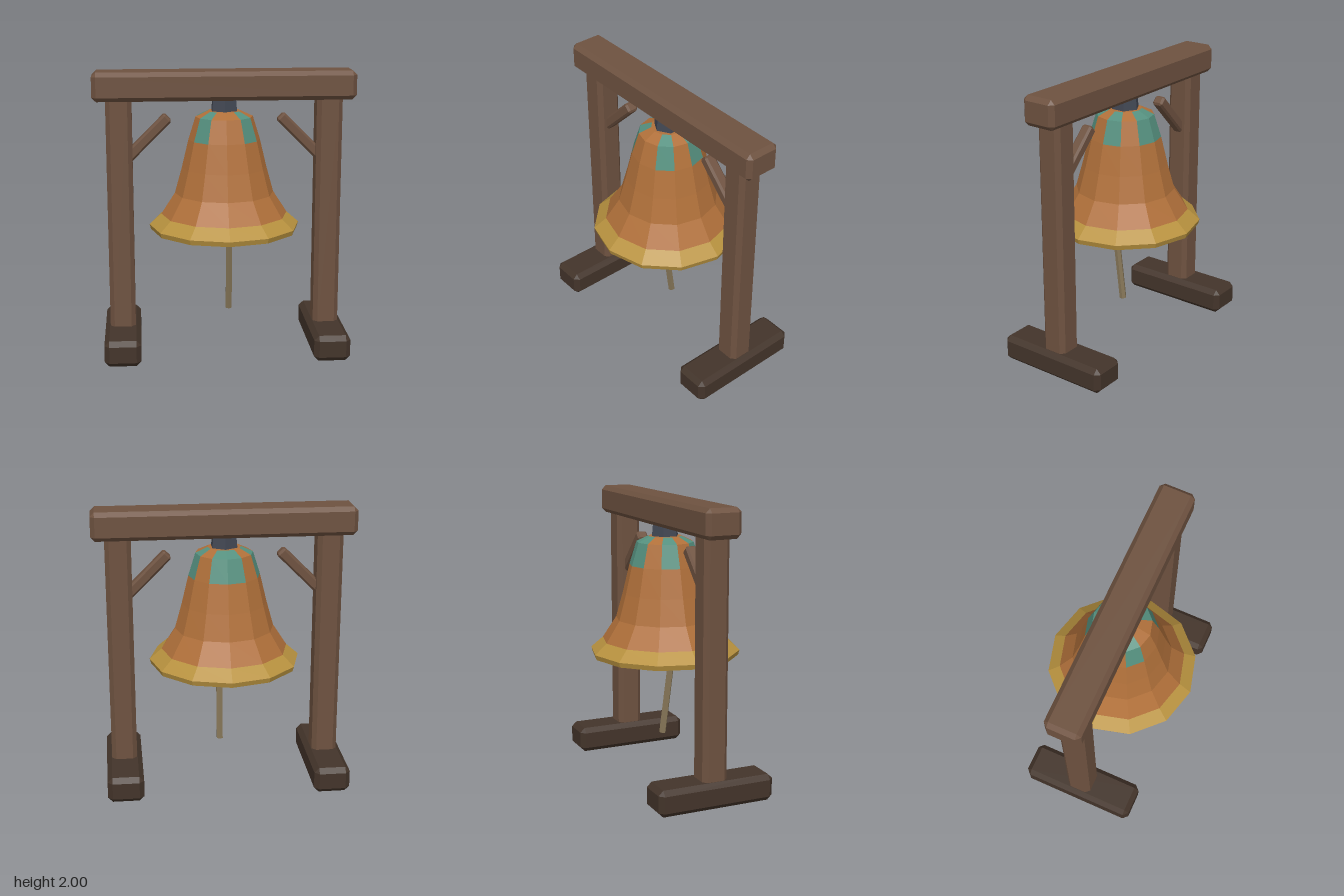
import * as THREE from 'three';
import { ConvexGeometry } from 'three/addons/geometries/ConvexGeometry.js';

const paint = (color, side = THREE.FrontSide) =>
  new THREE.MeshStandardMaterial({ color, flatShading: true, side });

const wood = paint(0x6e5240);
const darkWood = paint(0x43342a);
const copper = paint(0xb0703a);
const patina = paint(0x55907f);
const brass = paint(0xb8923f);
const innerBronze = paint(0x4d4335);
const iron = paint(0x424753);
const ropeFibre = paint(0x857557);

const SIDES = 12;

function add(parent, name, geometry, material, x = 0, y = 0, z = 0) {
  const mesh = new THREE.Mesh(geometry, material);
  mesh.name = name;
  mesh.position.set(x, y, z);
  parent.add(mesh);
  return mesh;
}

// Timber with every edge cut off at 45 degrees
function timber(w, h, d, c) {
  const half = [w / 2, h / 2, d / 2];
  const points = [];
  for (let axis = 0; axis < 3; axis++)
    for (const sx of [-1, 1]) for (const sy of [-1, 1]) for (const sz of [-1, 1]) {
      const p = half.map((v, i) => (i === axis ? v : v - c));
      points.push(new THREE.Vector3(p[0] * sx, p[1] * sy, p[2] * sz));
    }
  return new ConvexGeometry(points);
}

// Faceted surface of revolution, whole or a single facet
function turned(profile, segments = SIDES, start = 0) {
  const points = profile.map(([r, y]) => new THREE.Vector2(r, y));
  return new THREE.LatheGeometry(points, segments, start, (segments / SIDES) * Math.PI * 2);
}

// Straight rod between two points
function rod(parent, name, a, b, radius, sides, material) {
  const from = new THREE.Vector3(...a), to = new THREE.Vector3(...b);
  const dir = to.clone().sub(from);
  const mesh = add(parent, name, new THREE.CylinderGeometry(radius, radius, dir.length(), sides), material);
  mesh.position.copy(from).add(to).multiplyScalar(0.5);
  mesh.quaternion.setFromUnitVectors(new THREE.Vector3(0, 1, 0), dir.normalize());
}

function createFrame() {
  const frame = new THREE.Group();
  frame.name = 'frame';
  add(frame, 'crossBeam', timber(1.82, 0.2, 0.25, 0.03), wood, 0, 1.9, 0);
  for (const [side, label] of [[1, 'left'], [-1, 'right']]) {
    add(frame, label + 'Foot', timber(0.255, 0.185, 0.84, 0.034), darkWood, side * 0.73, 0.0925, 0);
    add(frame, label + 'Post', timber(0.18, 1.72, 0.18, 0.03), wood, side * 0.73, 0.98, 0);
    const brace = add(frame, label + 'Brace', timber(0.075, 0.44, 0.08, 0.014), wood, side * 0.545, 1.525, 0);
    brace.rotation.z = side * Math.PI / 4;
  }
  return frame;
}

function createBell() {
  const bell = new THREE.Group();
  bell.name = 'bell';

  // Flared rim and waist
  add(bell, 'rim', turned([[0.49, 0.88], [0.52, 0.88], [0.53, 0.915], [0.445, 0.99]]), brass);
  add(bell, 'waist', turned([[0.445, 0.99], [0.348, 1.14], [0.298, 1.32], [0.25, 1.52]]), copper);

  // Shoulder, with weathered facets mirrored left to right
  const weathered = [1, 3, 5, 6, 8, 10];
  for (let i = 0; i < SIDES; i++) {
    const facet = turned([[0.25, 1.52], [0.2, 1.68], [0.115, 1.72]], 1, (i / SIDES) * Math.PI * 2);
    const old = weathered.includes(i);
    add(bell, old ? 'patinaFacet' : 'shoulderFacet', facet, old ? patina : copper);
  }
  add(bell, 'crown', turned([[0.115, 1.72], [0, 1.725]]), copper);

  // Inner wall, running downward so it faces inward
  add(bell, 'innerWall',
    turned([[0, 1.66], [0.16, 1.64], [0.22, 1.5], [0.27, 1.32], [0.32, 1.14], [0.415, 0.99], [0.49, 0.88]]),
    innerBronze);

  // Hanger, clapper and pull rope
  add(bell, 'hanger', new THREE.CylinderGeometry(0.09, 0.1, 0.1, 6), iron, 0, 1.765, 0);
  rod(bell, 'clapperRod', [0, 1.66, 0], [0, 0.96, 0], 0.045, 6, iron);
  add(bell, 'clapperBall', new THREE.IcosahedronGeometry(0.1, 1), iron, 0, 0.945, 0);
  rod(bell, 'pullRope', [0.03, 0.92, 0.078], [0.033, 0.28, -0.005], 0.025, 6, ropeFibre);
  return bell;
}

export function createModel() {
  const model = new THREE.Group();
  model.name = 'bellStand';
  model.add(createFrame(), createBell());
  return model;
}
